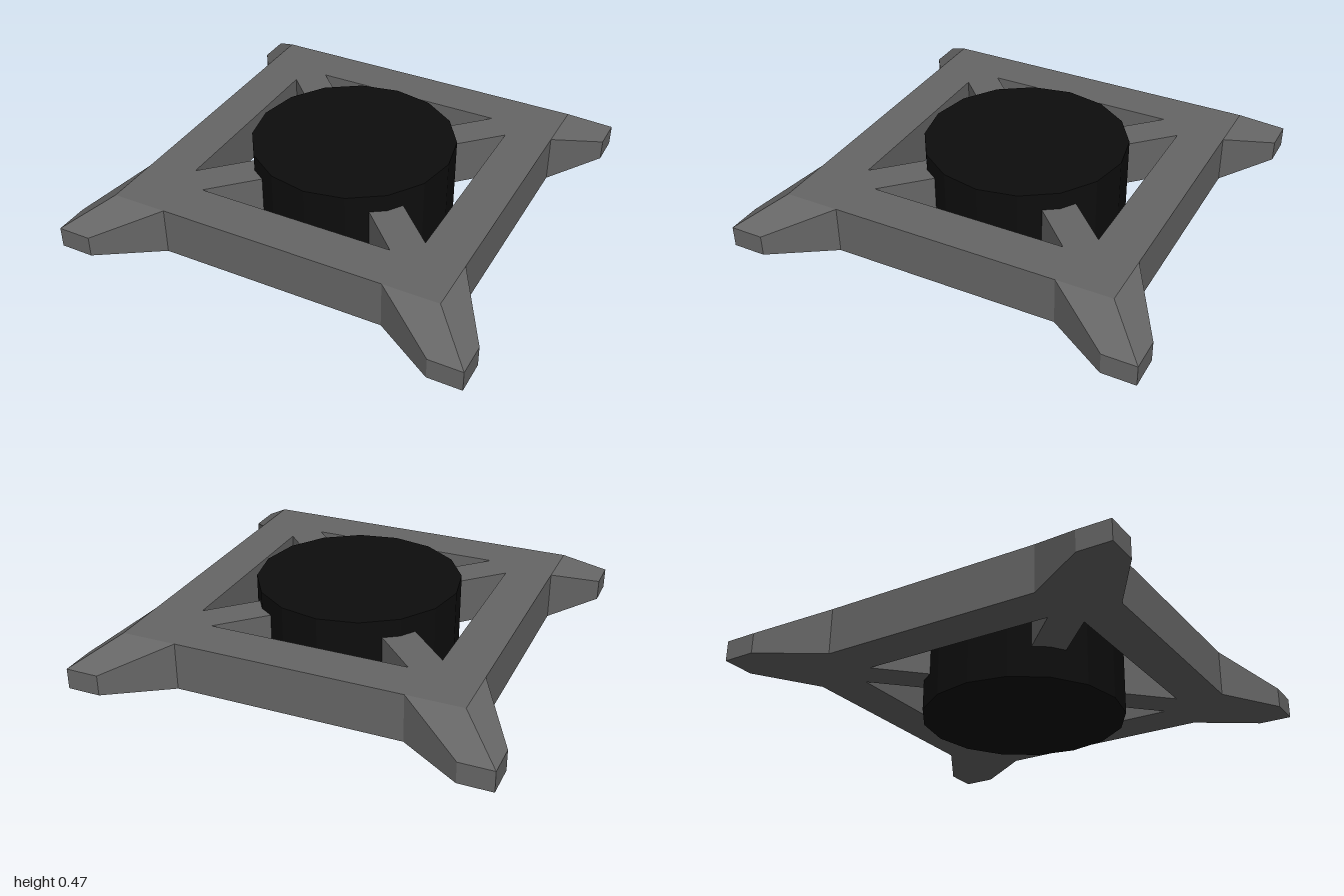
import * as THREE from 'three';

const BOTTOM = 0.15, TOP = 0.38, EDGE = 0.81;

// Square frame with diagonal struts: one plate with four triangular openings
function frameGeometry() {
  const polygon = (Type, pts) => new Type(pts.map(([x, y]) => new THREE.Vector2(x, y)));
  const plate = polygon(THREE.Shape, [[-EDGE, -EDGE], [EDGE, -EDGE], [EDGE, EDGE], [-EDGE, EDGE]]);
  for (let i = 0; i < 4; i++) {
    const c = Math.round(Math.cos(i * Math.PI / 2)), s = Math.round(Math.sin(i * Math.PI / 2));
    const opening = [[-0.48, 0.595], [0.48, 0.595], [0, 0.115]];
    plate.holes.push(polygon(THREE.Path, opening.map(([x, y]) => [x * c - y * s, x * s + y * c])));
  }
  const geo = new THREE.ExtrudeGeometry(plate, { depth: TOP - BOTTOM, bevelEnabled: false });
  return geo.rotateX(-Math.PI / 2).translate(0, BOTTOM, 0);
}

// Sloping corner foot, built on the +x +z corner of the frame
function footGeometry() {
  const inner = 0.545, tip = 0.84, lip = 0.25;
  const plan = [[EDGE, inner], [1, tip], [1, 1], [tip, 1], [inner, EDGE], [EDGE, EDGE]];
  const heights = [TOP, lip, lip, lip, TOP, TOP];
  const low = plan.map(([x, z]) => [x, BOTTOM, z]);
  const high = plan.map(([x, z], i) => [x, heights[i], z]);
  const quads = [
    [high[0], high[5], high[2], high[1]], // two slopes meeting in a ridge
    [high[5], high[4], high[3], high[2]],
    [low[0], low[1], low[2], low[5]],     // underside
    [low[5], low[2], low[3], low[4]],
  ];
  for (let i = 0; i < 4; i++) quads.push([low[i], high[i], high[i + 1], low[i + 1]]); // walls
  const positions = quads.flatMap(([a, b, c, d]) => [a, b, c, a, c, d].flat());
  const geo = new THREE.BufferGeometry();
  geo.setAttribute('position', new THREE.Float32BufferAttribute(positions, 3));
  geo.computeVertexNormals();
  return geo;
}

export function createModel() {
  const model = new THREE.Group();
  model.name = 'padOnSquareFrame';
  const grey = new THREE.MeshStandardMaterial({ color: 0x666666, flatShading: true });
  const black = new THREE.MeshStandardMaterial({ color: 0x0d0d0d, flatShading: true });

  const add = (name, geometry, material) => {
    const mesh = new THREE.Mesh(geometry, material);
    mesh.name = name;
    model.add(mesh);
    return mesh;
  };

  add('frame', frameGeometry(), grey);

  const foot = footGeometry();
  ['frontLeftFoot', 'backLeftFoot', 'backRightFoot', 'frontRightFoot'].forEach((name, i) => {
    add(name, foot, grey).rotation.y = i * Math.PI / 2;
  });

  // Central drum passing through the frame
  const height = 0.465;
  add('drum', new THREE.CylinderGeometry(0.493, 0.493, height, 16), black).position.y = height / 2;

  return model;
}
